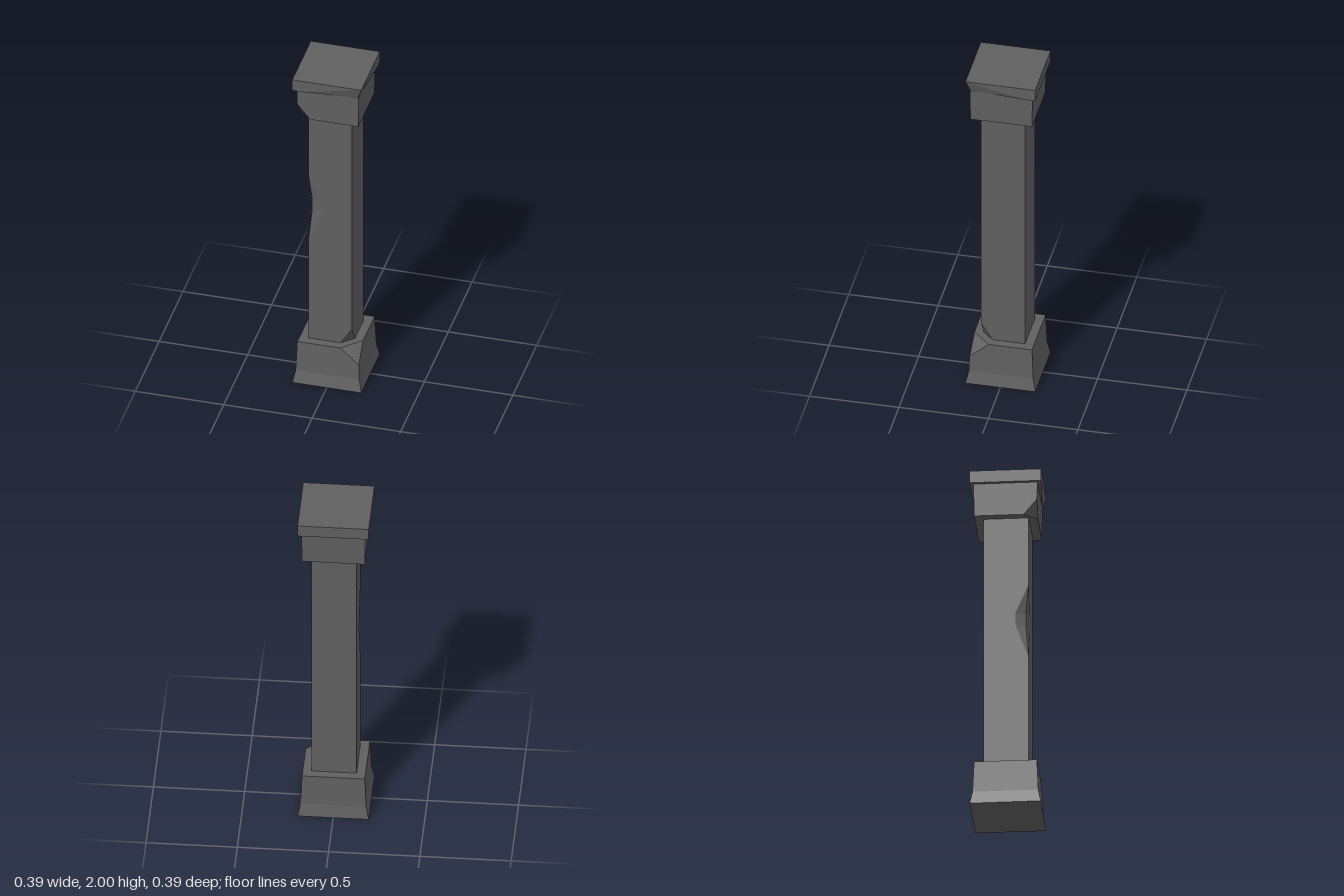
import * as THREE from 'three';
import { ConvexGeometry } from 'three/addons/geometries/ConvexGeometry.js';

const stone = new THREE.MeshStandardMaterial({ color: 0x606060 });
stone.name = 'dark stone';

// The four corners of a square at height y; those named in skip are left out
function square(h, y, skip = '') {
  return [['backLeft', h, -h], ['backRight', -h, -h], ['frontLeft', h, h], ['frontRight', -h, h]]
    .filter(([name]) => name !== skip)
    .map(([, x, z]) => [x, y, z]);
}

function hull(name, points) {
  const geometry = new ConvexGeometry(points.map((p) => new THREE.Vector3(...p)));
  const mesh = new THREE.Mesh(geometry, stone);
  mesh.name = name;
  return mesh;
}

// Square shaft as a loft of rings, with a notch on one front edge and a chip on the other
function shaft() {
  const s = 0.123;
  // height, notch reach along the faces, notch ridge position, chip reach
  const rings = [
    [0.26, s, s, 0.06],
    [0.36, s, s, s],
    [0.9, s, s, s],
    [1.1, 0.05, 0.106, s],
    [1.17, 0.05, 0.106, s],
    [1.34, s, s, s],
    [1.74, s, s, s],
  ].map(([y, n, r, c]) => [
    [-s, y, -s], [-s, y, n], [-r, y, r], [-n, y, s], [c, y, s], [s, y, c], [s, y, -s],
  ]);
  const positions = [];
  for (let i = 0; i < rings.length - 1; i++) {
    const low = rings[i], high = rings[i + 1];
    for (let j = 0; j < low.length; j++) {
      const k = (j + 1) % low.length;
      positions.push(...low[j], ...low[k], ...high[k], ...low[j], ...high[k], ...high[j]);
    }
  }
  const geometry = new THREE.BufferGeometry();
  geometry.setAttribute('position', new THREE.Float32BufferAttribute(positions, 3));
  geometry.computeVertexNormals();
  const mesh = new THREE.Mesh(geometry, stone);
  mesh.name = 'shaft';
  return mesh;
}

export function createModel() {
  const column = new THREE.Group();
  column.name = 'column';

  // Flared foot and the block above it, with a broken front corner
  column.add(hull('baseFoot', [...square(0.195, 0), ...square(0.18, 0.075)]));
  column.add(hull('baseBlock', [
    ...square(0.18, 0.075),
    ...square(0.172, 0.26, 'frontLeft'),
    [0.176, 0.17, 0.176], [0.07, 0.26, 0.172], [0.172, 0.26, 0.07],
  ]));

  column.add(shaft());

  // Capital block, broken at its lower front corner
  column.add(hull('capitalBlock', [
    ...square(0.172, 1.74, 'frontRight'),
    ...square(0.175, 1.93),
    [-0.173, 1.83, 0.173], [-0.1, 1.74, 0.172], [-0.172, 1.74, 0.1],
  ]));

  // Top slab, worn back under one front corner
  column.add(hull('topSlab', [
    ...square(0.195, 1.93, 'frontLeft'),
    ...square(0.195, 2),
    [-0.14, 1.93, 0.195], [0.172, 1.93, 0.172], [0.195, 1.93, -0.14],
  ]));

  return column;
}
